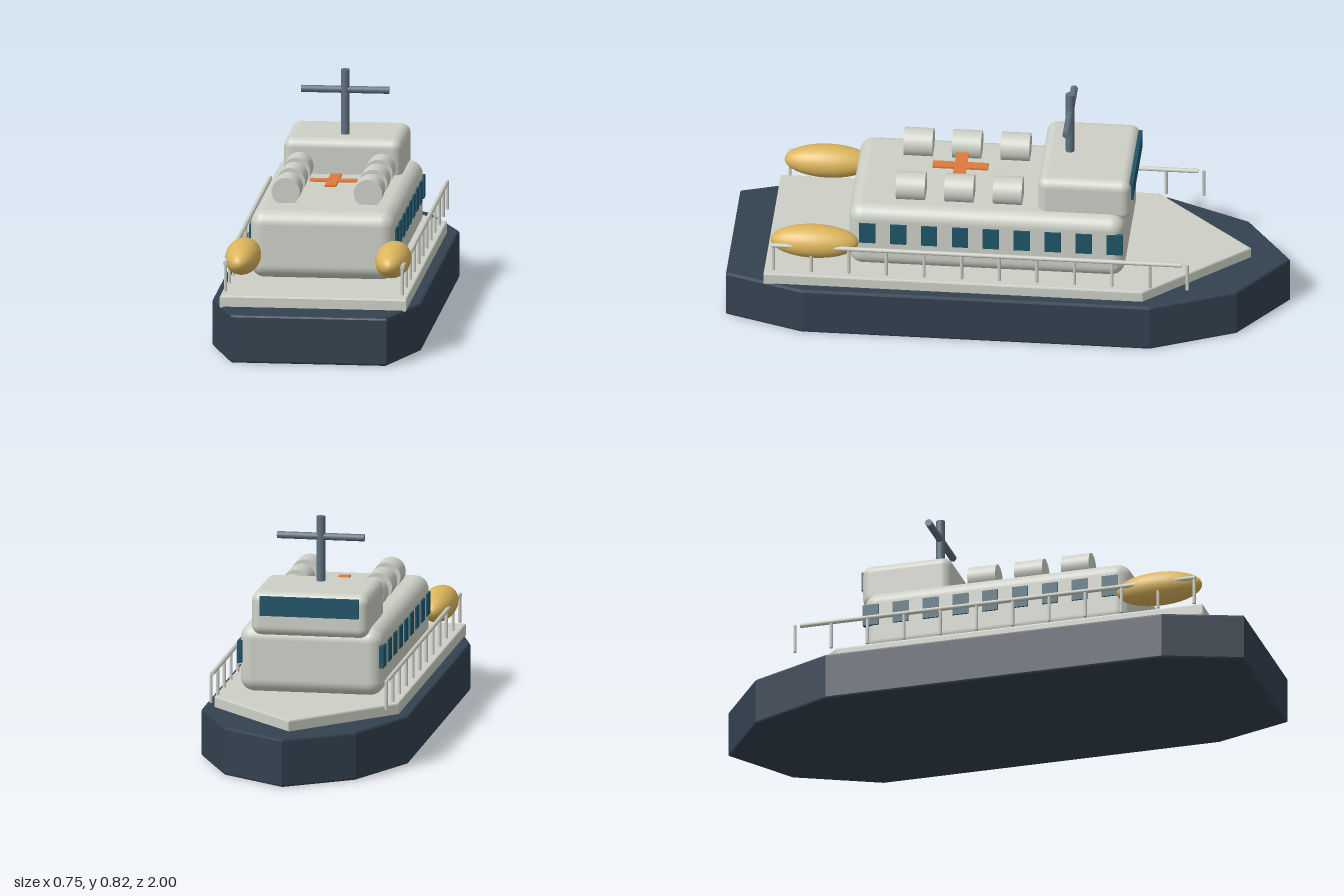
import * as THREE from 'three';
import { RoundedBoxGeometry } from 'three/addons/geometries/RoundedBoxGeometry.js';

const paint = (color) => new THREE.MeshStandardMaterial({ color });

export function createModel() {
  const ship = new THREE.Group();
  ship.name = 'ship';
  const navy = paint(0x33414f), white = paint(0xcdd0c6), glass = paint(0x1f5468);
  const yellow = paint(0xdcb55c), steel = paint(0x5f717f), orange = paint(0xdd7a3c);

  const add = (name, geometry, material, x = 0, y = 0, z = 0, parent = ship) => {
    const mesh = new THREE.Mesh(geometry, material);
    mesh.name = name;
    mesh.position.set(x, y, z);
    parent.add(mesh);
    return mesh;
  };

  // Mirrored plan outline (x, z), extruded upward between two heights
  const slab = (half, bottom, top, bevel) => {
    const points = [...half, ...half.filter(([x]) => x > 0).reverse().map(([x, z]) => [-x, z])];
    const shape = new THREE.Shape(points.map(([x, z]) => new THREE.Vector2(x, z)));
    const geometry = new THREE.ExtrudeGeometry(shape, {
      depth: top - bottom - 2 * bevel, bevelSize: bevel, bevelThickness: bevel,
      bevelOffset: -bevel, bevelSegments: 2,
    });
    return geometry.rotateX(Math.PI / 2).translate(0, top - bevel, 0);
  };

  // Hull and deck, bow towards -z
  add('hull', slab([[0, -1], [0.24, -0.83], [0.375, -0.53], [0.375, 0.72], [0.28, 1]], 0, 0.175, 0.008), navy);
  add('deck', slab([[0, -0.86], [0.335, -0.5], [0.335, 0.86]], 0.168, 0.215, 0.006), white);

  // Cabin and wheelhouse
  add('cabin', new RoundedBoxGeometry(0.52, 0.245, 0.99, 5, 0.05), white, 0, 0.3375, 0.068);
  add('wheelhouse', new RoundedBoxGeometry(0.426, 0.16, 0.333, 5, 0.035), white, 0, 0.508, -0.279);
  add('wheelhouseWindow', new THREE.BoxGeometry(0.36, 0.07, 0.014), glass, 0, 0.539, -0.446);

  // Mast with crossbar
  add('mast', new THREE.CylinderGeometry(0.016, 0.016, 0.255, 20), steel, 0, 0.6965, -0.21);
  add('mastCrossbar', new THREE.CylinderGeometry(0.013, 0.013, 0.316, 16).rotateZ(Math.PI / 2),
    steel, 0, 0.75, -0.21);

  // Roof marker cross
  add('roofCrossLong', new THREE.BoxGeometry(0.04, 0.007, 0.2), orange, 0, 0.501, 0.183);
  add('roofCrossWide', new THREE.BoxGeometry(0.168, 0.005, 0.045), orange, 0, 0.501, 0.183);

  const canister = new THREE.CylinderGeometry(0.051, 0.051, 0.104, 28).rotateX(Math.PI / 2);
  const pane = new THREE.BoxGeometry(0.016, 0.08, 0.058);
  const boat = new THREE.SphereGeometry(1, 32, 20).rotateX(Math.PI / 2).scale(0.063, 0.06, 0.158);
  const post = new THREE.CylinderGeometry(0.006, 0.006, 0.105, 10);
  const rail = new THREE.CylinderGeometry(0.008, 0.008, 1.47, 12).rotateX(Math.PI / 2);

  for (const [side, s] of [['left', 1], ['right', -1]]) {
    const group = new THREE.Group();
    group.name = side + 'Fittings';
    ship.add(group);
    // Roof canisters
    for (let i = 0; i < 3; i++) {
      add(side + 'Canister', canister, white, s * 0.148, 0.5, -0.002 + i * 0.174, group);
    }
    // Cabin windows
    for (let i = 0; i < 9; i++) {
      add(side + 'Window', pane, glass, s * 0.258, 0.362, 0.494 - i * 0.111, group);
    }
    add(side + 'Lifeboat', boat, yellow, s * 0.27, 0.323, 0.682, group);
    // Railing
    for (let i = 0; i < 12; i++) {
      add(side + 'RailPost', post, white, s * 0.318, 0.277, 0.825 - i * 0.135, group);
    }
    add(side + 'Rail', rail, white, s * 0.318, 0.326, 0.095, group);
  }
  return ship;
}
